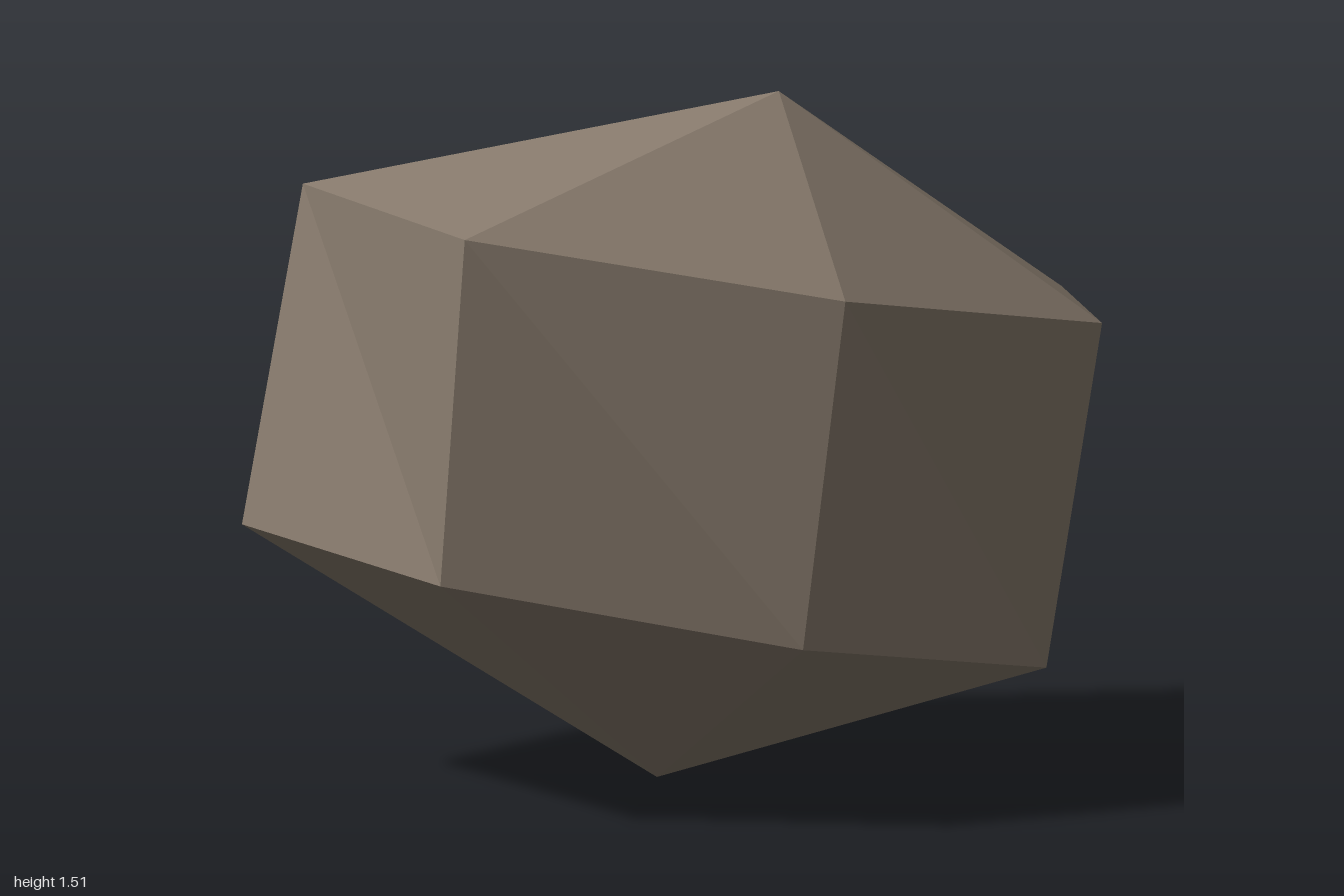
import * as THREE from 'three';

export function createModel() {
  const group = new THREE.Group();
  group.name = 'rock';
  const stone = new THREE.MeshStandardMaterial({ color: 0x887b6d });
  stone.name = 'brown stone';

  // Two tilted six-sided rings, anticlockwise from above, with a peak and a foot
  const peak = [0.22, 1.51, 0];
  const foot = [-0.02, 0, 0.18];
  const upper = [
    [-0.81, 1.305, 0.2], [-0.3, 1.32, 1], [0.5, 1.16, 0.71],
    [0.93, 1, -0.08], [0.67, 0.93, -1], [-0.18, 1.11, -0.62],
  ];
  const lower = [
    [-0.93, 0.555, 0.29], [-0.36, 0.54, 0.97], [0.44, 0.41, 0.9],
    [0.82, 0.24, 0], [0.51, 0.195, -0.81], [-0.39, 0.35, -0.71],
  ];

  // Unshared corners give every facet its own flat normal
  function addPart(name, triangles) {
    const geometry = new THREE.BufferGeometry();
    geometry.setAttribute('position', new THREE.Float32BufferAttribute(triangles.flat(2), 3));
    geometry.computeVertexNormals();
    const mesh = new THREE.Mesh(geometry, stone);
    mesh.name = name;
    group.add(mesh);
  }

  const crown = [], sides = [], base = [];
  for (let i = 0; i < 6; i++) {
    const j = (i + 1) % 6;
    crown.push([peak, upper[i], upper[j]]);
    sides.push([upper[i], lower[i], lower[j]], [upper[i], lower[j], upper[j]]);
    base.push([foot, lower[j], lower[i]]);
  }
  addPart('crownFacets', crown);
  addPart('sideFacets', sides);
  addPart('baseFacets', base);
  return group;
}
